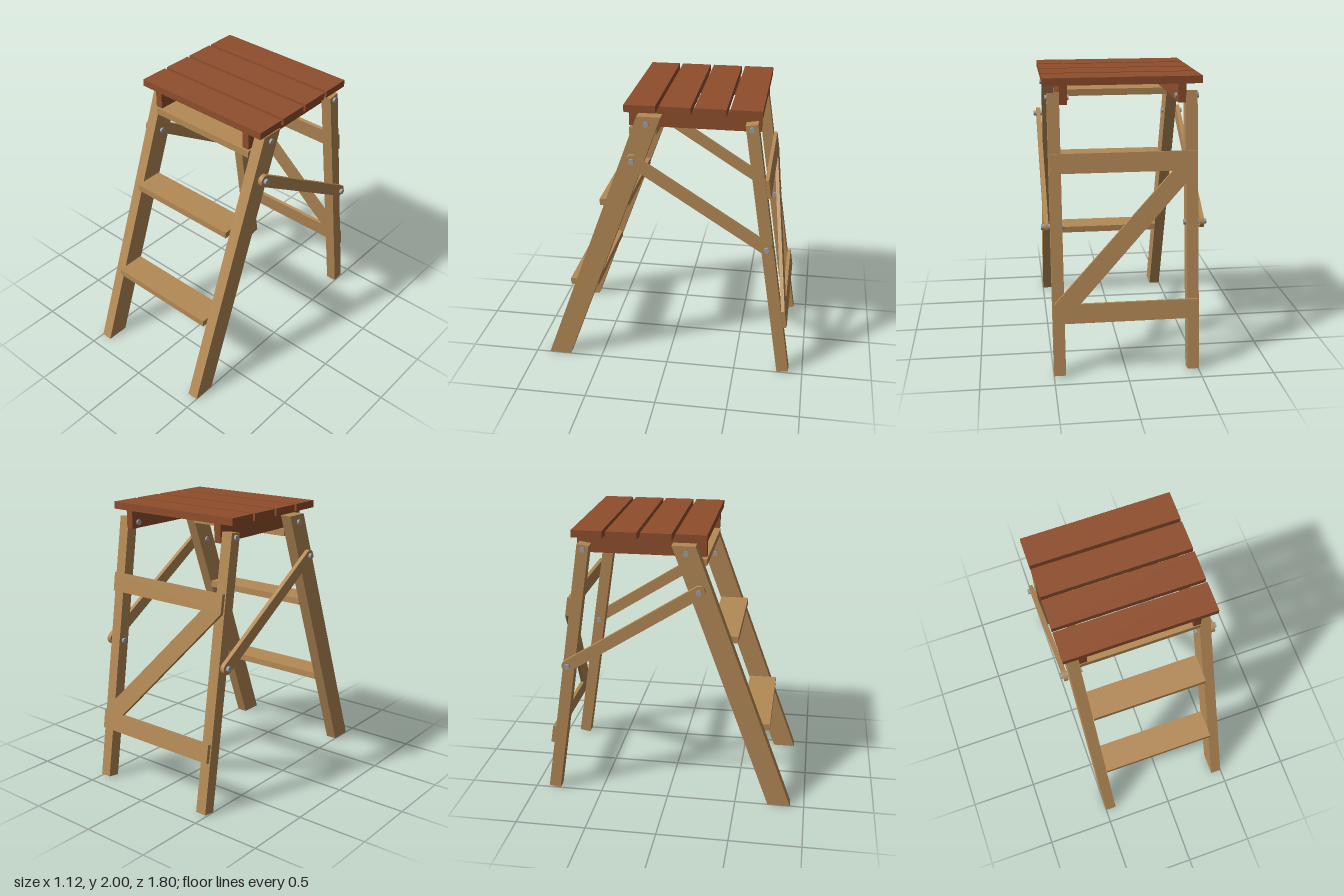
import * as THREE from 'three';

const wood = new THREE.MeshStandardMaterial({ name: 'wood', color: 0xb48a56 });
const redWood = new THREE.MeshStandardMaterial({ name: 'redWood', color: 0x8f4e2d });
const steel = new THREE.MeshStandardMaterial({ name: 'steel', color: 0x9ca0a6 });

function add(parent, name, geometry, material) {
  const mesh = new THREE.Mesh(geometry, material);
  mesh.name = name;
  parent.add(mesh);
  return mesh;
}

// Box given by its limits on each axis
function block(parent, name, material, [x0, x1], [y0, y1], [z0, z1]) {
  const g = new THREE.BoxGeometry(x1 - x0, y1 - y0, z1 - z0);
  g.translate((x0 + x1) / 2, (y0 + y1) / 2, (z0 + z1) / 2);
  return add(parent, name, g, material);
}

const polygon = (points) => new THREE.Shape(points.map(([a, b]) => new THREE.Vector2(a, b)));

function extrude(shape, depth) {
  return new THREE.ExtrudeGeometry(shape, { depth, bevelEnabled: false, curveSegments: 12 });
}

// Side profile in (z, y), filled from x0 to x1 on the chosen side
function sidePart(parent, name, shape, x0, x1, side) {
  const g = extrude(shape, x1 - x0);
  g.rotateY(-Math.PI / 2);
  g.translate(side > 0 ? x1 : -x0, 0, 0);
  return add(parent, name, g, wood);
}

function bolt(parent, side, x0, x1, z, y) {
  const g = new THREE.CylinderGeometry(0.019, 0.019, x1 - x0, 16);
  g.rotateZ(Math.PI / 2);
  g.translate((side * (x0 + x1)) / 2, y, z);
  add(parent, 'bolt', g, steel);
}

// Flat bar with round ends between two (z, y) pivots
function strapShape([za, ya], [zb, yb], r) {
  const a = Math.atan2(yb - ya, zb - za);
  const s = new THREE.Shape();
  s.absarc(za, ya, r, a + Math.PI / 2, a + Math.PI * 1.5, false);
  s.absarc(zb, yb, r, a - Math.PI / 2, a + Math.PI / 2, false);
  s.closePath();
  return s;
}

export function createModel() {
  const model = new THREE.Group();
  model.name = 'stepLadder';

  const frontLeg = polygon([[0.9, 0], [0.738, 0], [0.034, 1.914], [0.196, 1.914]]);
  const backLeg = polygon([[-0.816, 0], [-0.9, 0.014], [-0.61, 1.9], [-0.528, 1.887]]);
  const upperPivot = [0.226, 1.61];
  const lowerPivot = [-0.705, 1.018];
  const strap = strapShape(upperPivot, lowerPivot, 0.042);

  for (const side of [-1, 1]) {
    const name = side > 0 ? 'left' : 'right';
    sidePart(model, name + 'FrontLeg', frontLeg, 0.42, 0.5, side);
    sidePart(model, name + 'BackLeg', backLeg, 0.42, 0.5, side);
    sidePart(model, name + 'Strap', strap, 0.511, 0.541, side);
    // Rail under the top planks
    const xs = side > 0 ? [0.368, 0.42] : [-0.42, -0.368];
    block(model, name + 'TopRail', redWood, xs, [1.823, 1.95], [-0.628, 0.262]);
    // Bolts through legs, straps and rails
    bolt(model, side, 0.405, 0.56, ...upperPivot);
    bolt(model, side, 0.405, 0.56, ...lowerPivot);
    bolt(model, side, 0.355, 0.515, 0.132, 1.862);
    bolt(model, side, 0.355, 0.515, -0.572, 1.862);
  }

  // Top planks
  for (let i = 0; i < 4; i++) {
    const z = -0.64 + i * 0.2347;
    block(model, 'topPlank', redWood, [-0.528, 0.528], [1.95, 2], [z, z + 0.211]);
  }

  // Steps and the narrow bar under the top
  block(model, 'lowerStep', wood, [-0.42, 0.42], [0.56, 0.608], [0.522, 0.728]);
  block(model, 'upperStep', wood, [-0.42, 0.42], [1.216, 1.264], [0.28, 0.487]);
  block(model, 'topStep', wood, [-0.42, 0.42], [1.76, 1.808], [0.075, 0.263]);

  // Boards on the back legs, in the leaning plane of the legs
  const brace = new THREE.Group();
  brace.name = 'backBrace';
  brace.position.set(0, 0.014, -0.9);
  brace.rotation.x = Math.atan2(0.29, 1.886);
  model.add(brace);
  const w = 0.49;
  const boards = {
    upperBackBoard: [[-w, 1.376], [w, 1.376], [w, 1.506], [-w, 1.506]],
    lowerBackBoard: [[-w, 0.376], [w, 0.376], [w, 0.506], [-w, 0.506]],
    diagonalBackBoard: [[-w, 1.376], [0.313, 0.506], [w, 0.506], [-0.325, 1.376]],
  };
  for (const [name, points] of Object.entries(boards)) {
    const g = extrude(polygon(points.map(([x, y]) => [x, (y - 0.014) / 0.988])), 0.026);
    g.translate(0, 0, -0.026);
    add(brace, name, g, wood);
  }

  return model;
}
